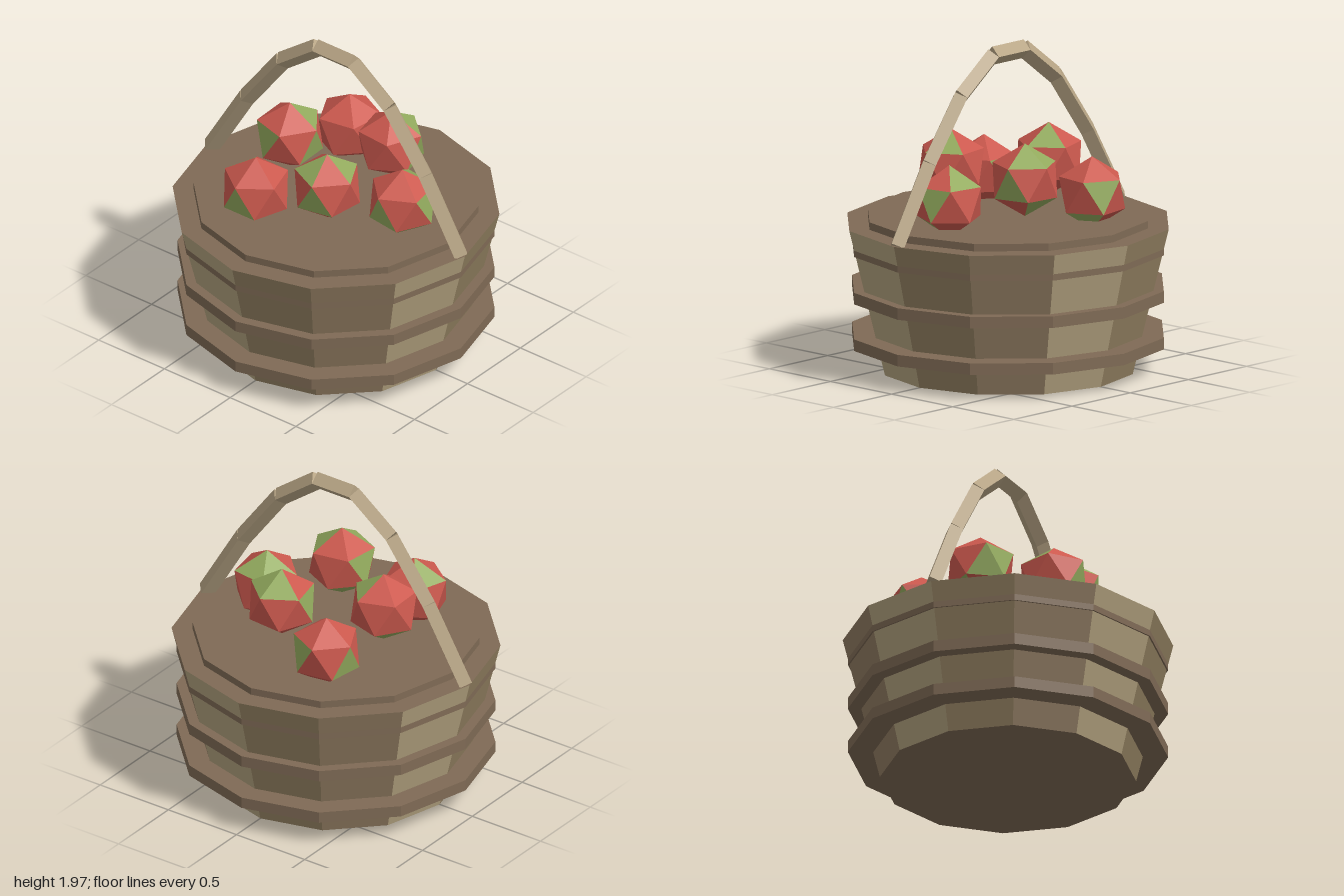
import * as THREE from 'three';

const SIDES = 12;
const mat = (color) => new THREE.MeshStandardMaterial({ color, flatShading: true });
const darkWood = mat(0x7f6a55);
const lightWood = mat(0xb8a585);
const planks = [mat(0x948262), mat(0x8f7a60), mat(0xb3a27f)];
const red = mat(0xcc594e);
const green = mat(0x93ab5e);

function add(parent, name, geometry, material, x = 0, y = 0, z = 0) {
  const mesh = new THREE.Mesh(geometry, material);
  mesh.name = name;
  mesh.position.set(x, y, z);
  parent.add(mesh);
  return mesh;
}

// Tapered tub: one flat plank per side, three wood tones in turn
function makeTub() {
  const tub = new THREE.Group();
  tub.name = 'tub';
  const step = (Math.PI * 2) / SIDES;
  for (let i = 0; i < SIDES; i++) {
    const plank = new THREE.CylinderGeometry(0.98, 0.76, 0.89, 1, 1, true, i * step, step);
    add(tub, 'plank', plank, planks[i % 3], 0, 0.445, 0);
  }
  add(tub, 'rim', new THREE.CircleGeometry(0.98, SIDES), darkWood, 0, 0.89, 0).rotation.x = -Math.PI / 2;
  add(tub, 'base', new THREE.CircleGeometry(0.76, SIDES), darkWood).rotation.x = Math.PI / 2;
  for (const y of [0.195, 0.478, 0.765]) {
    add(tub, 'hoop', new THREE.CylinderGeometry(0.95, 0.95, 0.07, SIDES), darkWood, 0, y, 0);
  }
  add(tub, 'fillingTop', new THREE.CylinderGeometry(0.855, 0.855, 0.075, SIDES), darkWood, 0, 0.8975, 0);
  return tub;
}

// Arched handle: seven straight square bars set on edge
function makeHandle() {
  const handle = new THREE.Group();
  handle.name = 'handle';
  const n = 7;
  const point = (i) => new THREE.Vector3(
    0.95 * ((2 * i) / n - 1), 0.885 + 1.056 * Math.sin((Math.PI * i) / n), 0);
  const up = new THREE.Vector3(0, 1, 0);
  for (let i = 0; i < n; i++) {
    const a = point(i), b = point(i + 1);
    const bar = add(handle, 'handleBar', new THREE.CylinderGeometry(0.056, 0.056, a.distanceTo(b), 4), lightWood);
    bar.position.copy(a).lerp(b, 0.5);
    bar.quaternion.setFromUnitVectors(up, b.clone().sub(a).normalize());
  }
  return handle;
}

// Twenty-sided apple standing on a corner; faces are numbered row * 5 + k
function makeApple(x, y, z, turn, greenFaces) {
  const r = 0.22;
  const ring = (k, h, shift) => {
    const a = THREE.MathUtils.degToRad(turn + shift + 72 * k);
    const s = r * 2 / Math.sqrt(5);
    return [s * Math.sin(a), h * r / Math.sqrt(5), s * Math.cos(a)];
  };
  const U = (k) => ring(k, 1, 0), L = (k) => ring(k, -1, 36);
  const top = [0, r, 0], bottom = [0, -r, 0];
  const rows = [
    (k) => [top, U(k), U(k + 1)],
    (k) => [U(k), L(k), U(k + 1)],
    (k) => [U(k + 1), L(k), L(k + 1)],
    (k) => [bottom, L(k + 1), L(k)],
  ];
  const skin = { red: [], green: [] };
  for (let f = 0; f < 20; f++) {
    const target = greenFaces.includes(f) ? skin.green : skin.red;
    target.push(...rows[Math.floor(f / 5)](f % 5).flat());
  }
  const apple = new THREE.Group();
  apple.name = 'apple';
  apple.position.set(x, y, z);
  for (const [name, points, material] of [['redSkin', skin.red, red], ['greenSkin', skin.green, green]]) {
    const geometry = new THREE.BufferGeometry();
    geometry.setAttribute('position', new THREE.Float32BufferAttribute(points, 3));
    geometry.computeVertexNormals();
    add(apple, name, geometry, material);
  }
  return apple;
}

export function createModel() {
  const model = new THREE.Group();
  model.name = 'appleBasket';
  model.add(makeTub(), makeHandle());

  // Apples: position, turn in degrees, green faces
  const low = 1.09, high = 1.215;
  model.add(
    makeApple(-0.255, low, -0.445, 46, [6, 12, 15, 18]),
    makeApple(0.175, high, -0.305, 31, [1, 2, 8, 10, 16]),
    makeApple(-0.35, high, 0, 20, [1, 9, 10, 13, 17]),
    makeApple(0.505, low, 0, -8, [2, 3, 6, 14, 15]),
    makeApple(0.175, high, 0.3, 11, [1, 4, 8, 14, 17]),
    makeApple(-0.255, low, 0.44, 0, [3, 7, 14, 15]),
  );
  return model;
}
